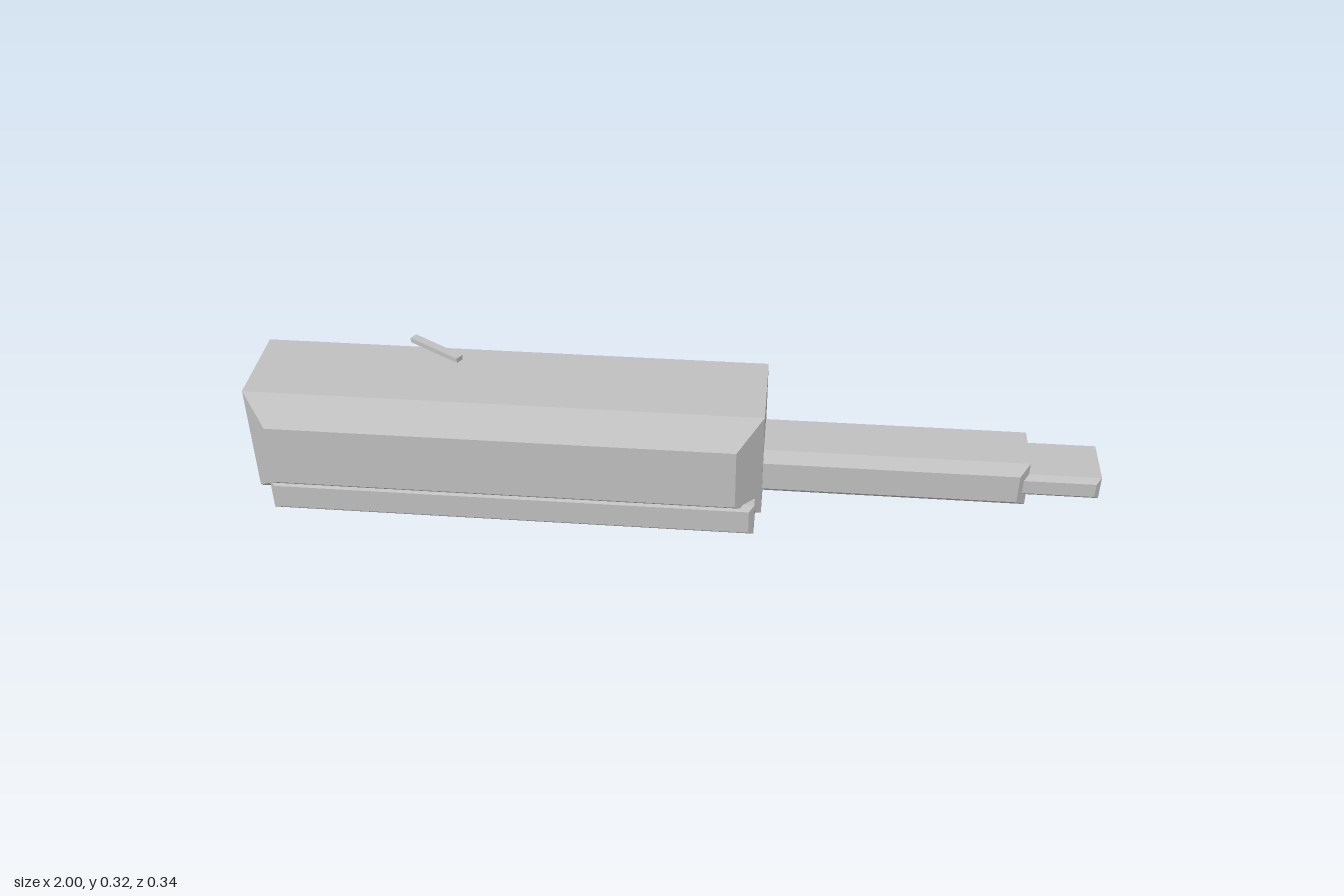
import * as THREE from 'three';

const grey = new THREE.MeshStandardMaterial({ color: 0xbfbfbf });
grey.name = 'light grey';

// Solid lofted through rectangles [z, x0, x1, y0, y1], ordered from back to front
function loftZ(name, sections) {
  const pos = [];
  const ring = ([z, x0, x1, y0, y1]) => [[x0, y0, z], [x1, y0, z], [x1, y1, z], [x0, y1, z]];
  const quad = (a, b, c, d) => pos.push(...a, ...b, ...c, ...a, ...c, ...d);
  const rings = sections.map(ring);
  for (let i = 0; i < rings.length - 1; i++) {
    for (let j = 0; j < 4; j++) {
      const k = (j + 1) % 4;
      quad(rings[i][j], rings[i][k], rings[i + 1][k], rings[i + 1][j]);
    }
  }
  const [a, b, c, d] = rings[0];
  quad(d, c, b, a);
  quad(...rings[rings.length - 1]);
  const geo = new THREE.BufferGeometry();
  geo.setAttribute('position', new THREE.Float32BufferAttribute(pos, 3));
  geo.computeVertexNormals();
  const mesh = new THREE.Mesh(geo, grey);
  mesh.name = name;
  return mesh;
}

// Block whose two z sides step in with a bevel
function bevelBlock(name, zIn, inner, zOut, outer) {
  return loftZ(name, [[-zOut, ...outer], [-zIn, ...inner], [zIn, ...inner], [zOut, ...outer]]);
}

export function createModel() {
  const model = new THREE.Group();
  model.name = 'slidingActuator';

  // Main housing, extension arm and arm tip
  model.add(
    bevelBlock('housing', 0.11, [-1, 0.215, 0.031, 0.309], 0.17, [-0.94, 0.155, 0.091, 0.248]),
    bevelBlock('arm', 0.061, [0.17, 0.833, 0.062, 0.182], 0.085, [0.15, 0.81, 0.085, 0.159]),
    bevelBlock('armTip', 0.061, [0.8, 1, 0.092, 0.152], 0.073, [0.8, 0.988, 0.104, 0.14]),
  );

  // U-shaped cradle under the housing
  const half = [[0.152, 0], [0.152, 0.086], [0.127, 0.086], [0.127, 0.047], [0.11, 0.031]];
  const outline = [...half, ...half.map(([z, y]) => [-z, y]).reverse()];
  const shape = new THREE.Shape(outline.map(([z, y]) => new THREE.Vector2(z, y)));
  const x0 = -0.957, x1 = 0.2;
  const trayGeo = new THREE.ExtrudeGeometry(shape, { depth: x1 - x0, bevelEnabled: false });
  trayGeo.rotateY(Math.PI / 2).translate(x0, 0, 0);
  const tray = new THREE.Mesh(trayGeo, grey);
  tray.name = 'cradle';
  model.add(tray);

  // Bevelled outer faces of the cradle
  const wide = [x0, x1, 0, 0.086], narrow = [x0 + 0.012, x1 - 0.012, 0.012, 0.074];
  model.add(
    loftZ('cradleSideFront', [[0.152, ...wide], [0.164, ...narrow]]),
    loftZ('cradleSideBack', [[-0.164, ...narrow], [-0.152, ...wide]]),
  );

  // Small slanted lever on the roof
  const lever = new THREE.Mesh(new THREE.BoxGeometry(0.152, 0.012, 0.02), grey);
  lever.name = 'lever';
  lever.position.set(-0.585, 0.315, -0.097);
  lever.rotation.y = -0.55;
  model.add(lever);

  return model;
}
